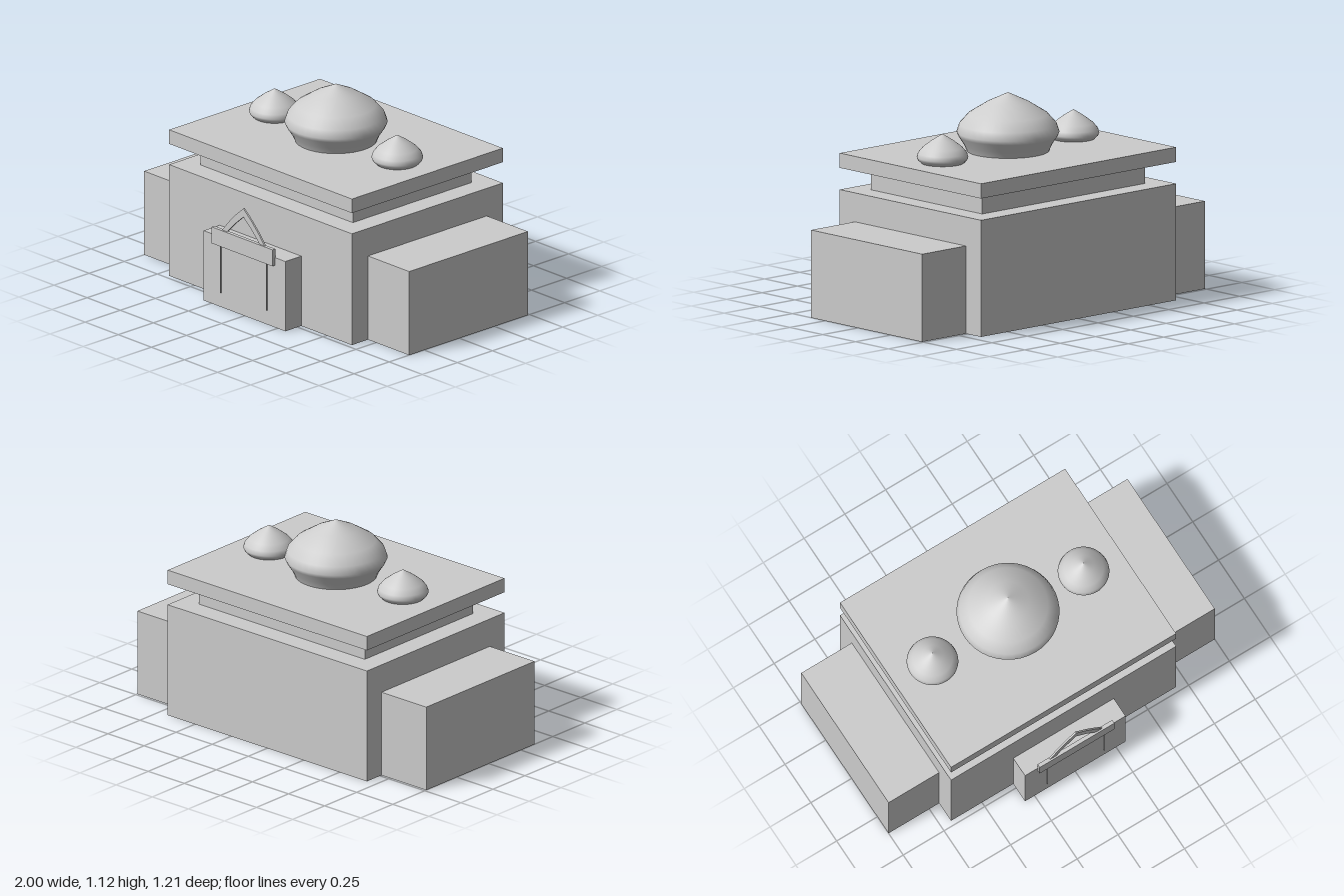
import * as THREE from 'three';

export function createModel() {
  const model = new THREE.Group();
  model.name = 'domedHall';
  const stone = new THREE.MeshStandardMaterial({ color: 0xcccccc });
  stone.name = 'pale grey stone';

  const add = (name, geometry) => {
    const mesh = new THREE.Mesh(geometry, stone);
    mesh.name = name;
    model.add(mesh);
    return mesh;
  };
  // Box given by its limits on each axis
  const box = (name, [x0, x1], [y0, y1], [z0, z1]) =>
    add(name, new THREE.BoxGeometry(x1 - x0, y1 - y0, z1 - z0))
      .position.set((x0 + x1) / 2, (y0 + y1) / 2, (z0 + z1) / 2);

  // Building masses
  box('mainHall', [-0.69, 0.69], [0, 0.617], [-0.602, 0.473]);
  box('leftWing', [0.69, 1], [0, 0.464], [-0.488, 0.358]);
  box('rightWing', [-1, -0.69], [0, 0.464], [-0.488, 0.358]);
  box('upperStorey', [-0.575, 0.575], [0.617, 0.713], [-0.488, 0.358]);
  box('roofSlab', [-0.69, 0.69], [0.732, 0.81], [-0.602, 0.473]);
  box('porch', [-0.308, 0.308], [0, 0.387], [0.473, 0.587]);
  box('doorLintel', [-0.229, 0.229], [0.343, 0.434], [0.583, 0.604]);

  // Thin door jambs below the lintel
  for (const [side, s] of [['left', 1], ['right', -1]]) {
    const x = s * 0.174;
    box(side + 'DoorJamb', [x - 0.0015, x + 0.0015], [0.08, 0.36], [0.585, 0.595]);
  }

  // Pointed arch: one curve and a copy of it shifted down
  const half = [[0.174, 0.412], [0.16, 0.434], [0.12, 0.483], [0.062, 0.543]];
  const curve = [
    ...half,
    [0, 0.597],
    ...half.map(([x, y]) => [-x, y]).reverse(),
  ];
  const outline = [...curve, ...curve.map(([x, y]) => [x, y - 0.047]).reverse()];
  const archShape = new THREE.Shape(outline.map(([x, y]) => new THREE.Vector2(x, y)));
  add('pointedArch', new THREE.ExtrudeGeometry(archShape, { depth: 0.01, bevelEnabled: false }))
    .position.z = 0.585;

  // Onion domes on the roof
  const dome = (name, x, profile) =>
    add(name, new THREE.LatheGeometry(profile.map(([r, y]) => new THREE.Vector2(r, y)), 40))
      .position.set(x, 0.81, -0.065);
  dome('centralDome', 0, [
    [0.214, 0], [0.229, 0.035], [0.257, 0.078], [0.267, 0.1],
    [0.253, 0.142], [0.207, 0.194], [0.11, 0.255], [0, 0.307],
  ]);
  const small = [
    [0.112, 0], [0.128, 0.016], [0.134, 0.03], [0.127, 0.052],
    [0.104, 0.08], [0.056, 0.117], [0, 0.152],
  ];
  dome('leftDome', 0.463, small);
  dome('rightDome', -0.463, small);

  return model;
}
